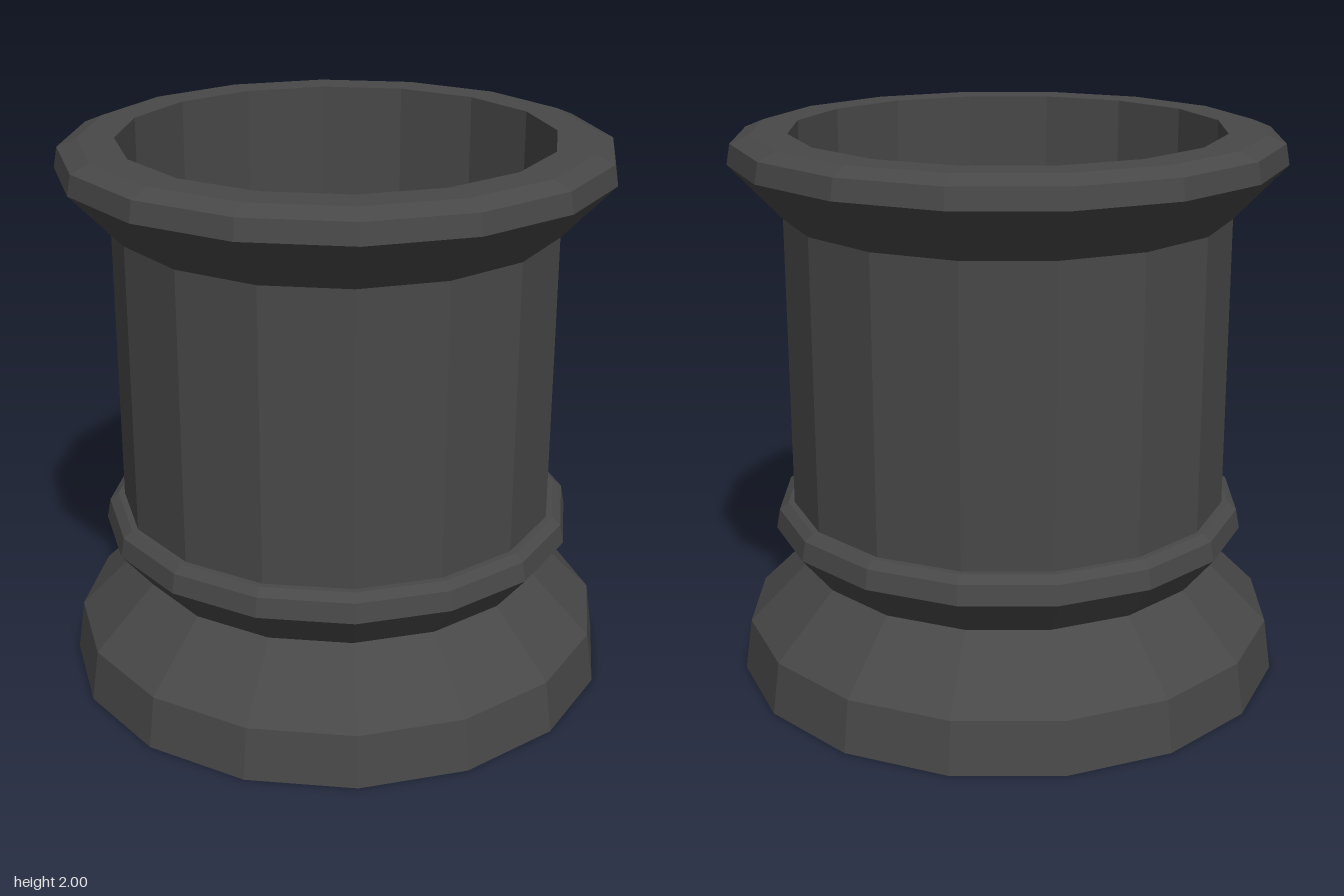
import * as THREE from 'three';

const SIDES = 16;
const TWIST = 0.063; // the facets are turned slightly off the axes

export function createModel() {
  const group = new THREE.Group();
  group.name = 'pot';
  const material = new THREE.MeshStandardMaterial({ color: 0x484848, flatShading: true });

  // Turned part from a profile of [radius, height] points, outside going up
  const turned = (name, profile) => {
    const points = profile.map(([r, y]) => new THREE.Vector2(r, y));
    const mesh = new THREE.Mesh(new THREE.LatheGeometry(points, SIDES, TWIST), material);
    mesh.name = name;
    group.add(mesh);
  };

  // Closed foot, sloping in to the waist
  turned('base', [[0, 0], [1.002, 0], [0.975, 0.19], [0.75, 0.415]]);

  // Flared ring above the waist
  turned('collar', [[0.75, 0.415], [0.865, 0.555], [0.852, 0.625], [0.82, 0.65], [0.797, 0.65]]);

  // Straight wall
  turned('body', [[0.797, 0.65], [0.797, 1.705]]);

  // Flared lip with a bevelled edge and a flat top
  turned('rim', [[0.797, 1.705], [0.981, 1.9], [0.968, 1.972], [0.9, 2], [0.77, 2]]);

  // Recess inside the rim
  turned('inside', [[0.77, 2], [0.77, 1.56], [0, 1.56]]);

  return group;
}
